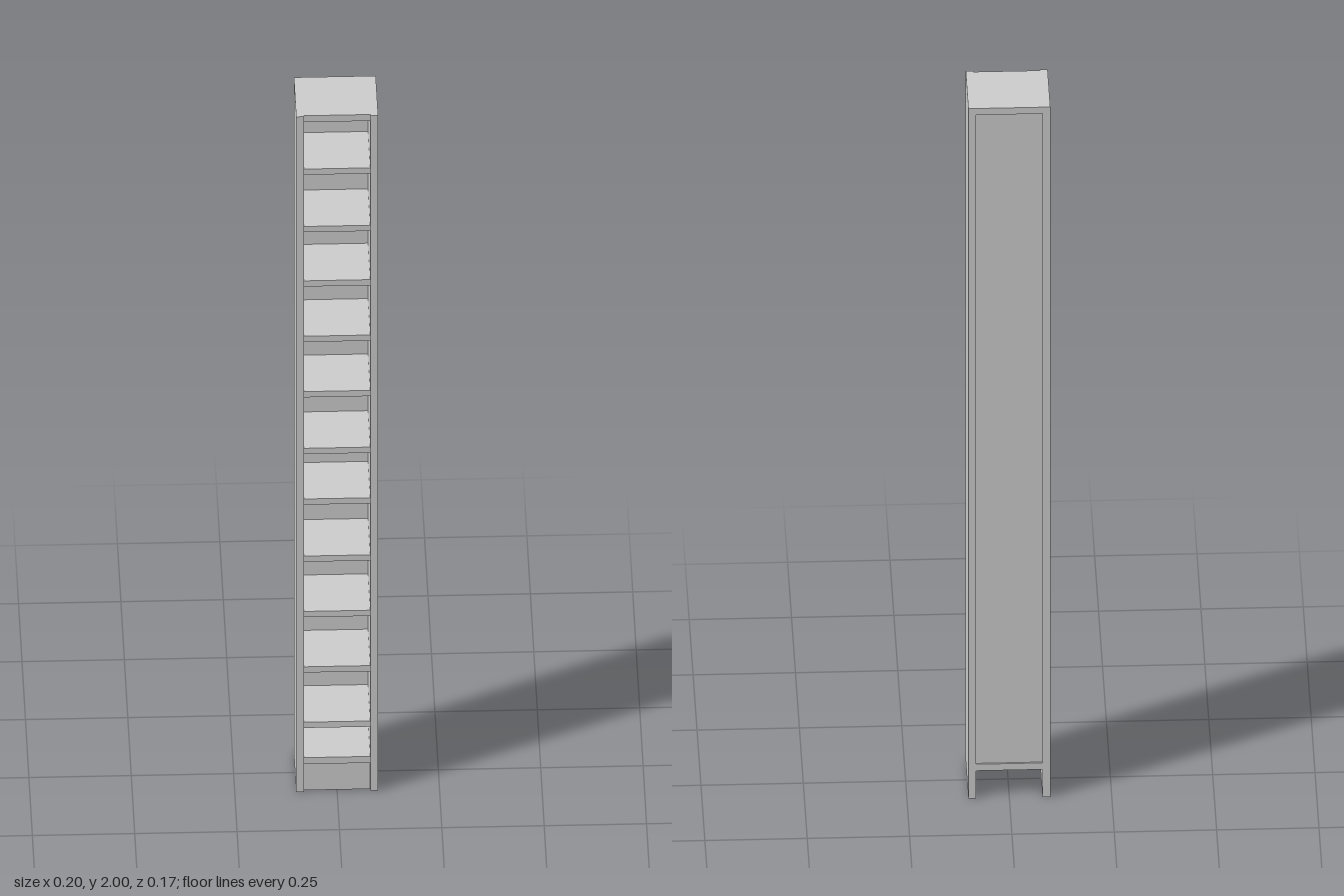
import * as THREE from 'three';

export function createModel() {
  const model = new THREE.Group();
  const material = new THREE.MeshStandardMaterial({ color: 0xcccccc });

  // Box given by its lower and upper limits on each axis
  function board(name, [x0, x1], [y0, y1], [z0, z1]) {
    const mesh = new THREE.Mesh(new THREE.BoxGeometry(x1 - x0, y1 - y0, z1 - z0), material);
    mesh.position.set((x0 + x1) / 2, (y0 + y1) / 2, (z0 + z1) / 2);
    mesh.name = name;
    model.add(mesh);
  }

  const half = 0.1, inner = 0.081, back = -0.085, front = 0.085;
  const shelfFront = 0.081, panelBack = -0.081, panelFront = -0.076;
  const span = [-inner, inner];

  // Full-height sides
  board('leftSide', [inner, half], [0, 2], [back, front]);
  board('rightSide', [-half, -inner], [0, 2], [back, front]);

  // Top, bottom and plinth
  board('topBoard', span, [1.981, 2], [back, shelfFront]);
  board('bottomBoard', span, [0.08, 0.099], [back, shelfFront]);
  board('plinth', span, [0, 0.08], [0.058, 0.077]);

  // Thin back panel, set slightly in from the rear edges
  board('backPanel', span, [0.099, 1.981], [panelBack, panelFront]);

  // Shelves, by height of their upper face
  const shelfTops = [0.204, 0.368, 0.532, 0.696, 0.865, 1.015, 1.183, 1.347, 1.511, 1.672, 1.842];
  shelfTops.forEach((y, i) => board(`shelf${i + 1}`, span, [y - 0.017, y], [panelFront, shelfFront]));

  return model;
}
